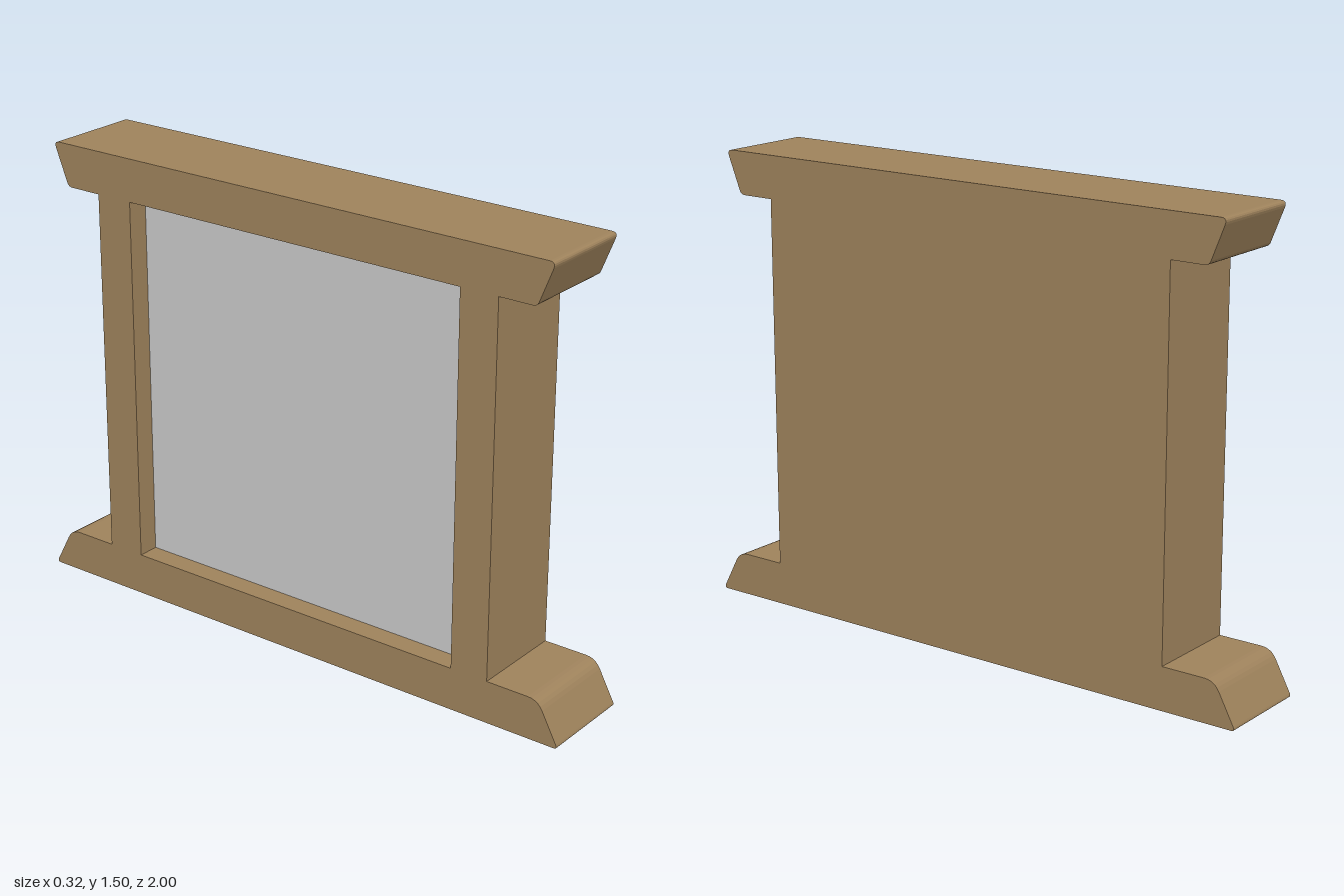
import * as THREE from 'three';

const HALF_WIDTH = 0.16, RECESS = 0.075;

// Right half of the outline, bottom to top: [z, y, corner radius]
const HALF = [
  [1.005, 0, 0.015], [0.93, 0.14, 0.035], [0.75, 0.14, 0],
  [0.75, 1.355, 0], [0.877, 1.355, 0.015], [0.933, 1.495, 0.022],
];

// Closed outline with rounded corners
function outline() {
  const mirrored = HALF.map(([z, y, r]) => [-z, y, r]).reverse();
  const pts = [...HALF, ...mirrored];
  const shape = new THREE.Shape();
  pts.forEach(([x, y, r], i) => {
    const p = new THREE.Vector2(x, y);
    const toward = (q) => new THREE.Vector2(q[0], q[1]).sub(p).setLength(r).add(p);
    const a = toward(pts[(i + pts.length - 1) % pts.length]);
    const b = toward(pts[(i + 1) % pts.length]);
    if (i === 0) shape.moveTo(a.x, a.y);
    else shape.lineTo(a.x, a.y);
    if (r > 0) shape.quadraticCurveTo(p.x, p.y, b.x, b.y);
  });
  shape.closePath();
  return shape;
}

// Extrude a side profile across the width, from x0 to x1
function extrudeAcross(shape, x0, x1) {
  return new THREE.ExtrudeGeometry(shape, { depth: x1 - x0, bevelEnabled: false, curveSegments: 5 })
    .rotateY(Math.PI / 2)
    .translate(x0, 0, 0);
}

export function createModel() {
  const group = new THREE.Group();
  const wood = new THREE.MeshStandardMaterial({ color: 0x9f835c });
  const grey = new THREE.MeshStandardMaterial({ color: 0xcccccc });
  const add = (name, geometry, material) => {
    const mesh = new THREE.Mesh(geometry, material);
    mesh.name = name;
    group.add(mesh);
    return mesh;
  };
  const floorX = -HALF_WIDTH + RECESS;

  // Solid body with foot and cornice
  add('body', extrudeAcross(outline(), floorX, HALF_WIDTH), wood);

  // Frame around the recess on the right side
  const frame = outline();
  const hole = new THREE.Path();
  hole.moveTo(-0.62, 0.14);
  hole.lineTo(-0.62, 1.355);
  hole.lineTo(0.62, 1.355);
  hole.lineTo(0.62, 0.14);
  hole.closePath();
  frame.holes.push(hole);
  add('recessFrame', extrudeAcross(frame, -HALF_WIDTH, floorX), wood);

  // Panel on the floor of the recess
  const panel = add('recessPanel', new THREE.BoxGeometry(0.006, 1.215, 1.24), grey);
  panel.position.set(floorX, 0.7475, 0);

  return group;
}
